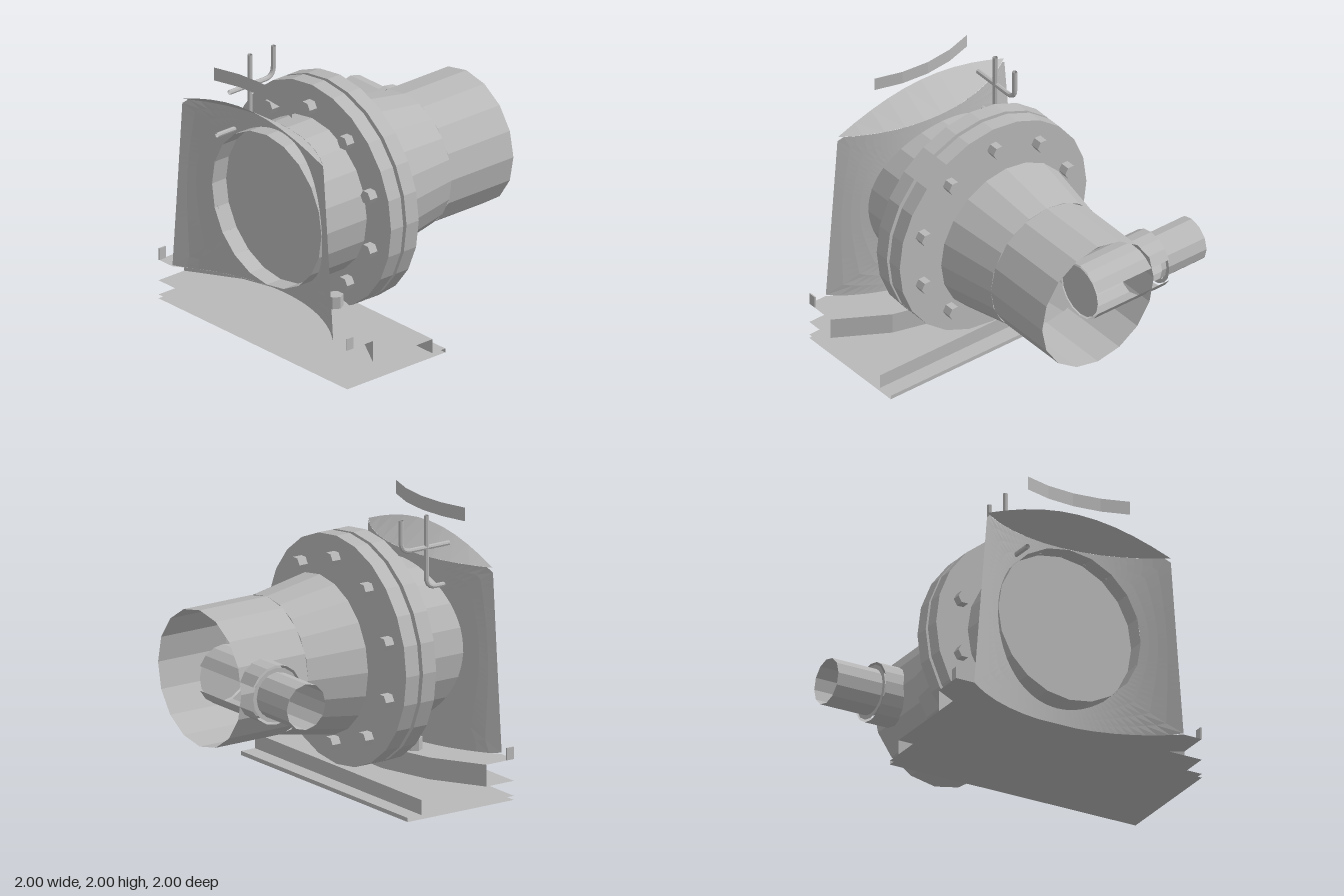
import * as THREE from 'three';

const CX = -2.04; // axis of the large tank, outside the modelled section

export function createModel() {
  const model = new THREE.Group();
  const grey = new THREE.MeshStandardMaterial({ color: 0xb8b8b8, flatShading: true, side: THREE.DoubleSide });
  grey.name = 'steelGrey';

  const add = (name, geometry, x = 0, y = 0, z = 0) => {
    const mesh = new THREE.Mesh(geometry, grey);
    mesh.name = name;
    mesh.position.set(x, y, z);
    model.add(mesh);
    return mesh;
  };

  // Surface from a rule f(u, v) -> [x, y, z]
  const surface = (f, nu, nv) => {
    const g = new THREE.PlaneGeometry(1, 1, nu, nv);
    const p = g.attributes.position;
    for (let i = 0; i < p.count; i++) p.setXYZ(i, ...f(p.getX(i) + 0.5, p.getY(i) + 0.5));
    g.computeVertexNormals();
    return g;
  };

  // Cylinder along x, from x0 (radius r0) to x1 (radius r1)
  const alongX = (name, x0, x1, r0, r1, sides, open, y = 1, z = 0) => {
    const g = new THREE.CylinderGeometry(r1, r0, x1 - x0, sides, 1, open);
    add(name, g.rotateZ(-Math.PI / 2), (x0 + x1) / 2, y, z);
  };

  // Main pipe line
  alongX('mainPipe', 0.42, 1, 0.5, 0.5, 16, true);
  alongX('reducer', -0.04, 0.42, 0.58, 0.5, 20, true);
  alongX('tankNozzle', -0.87, -0.445, 0.58, 0.58, 20, true);
  add('nozzleDisc', new THREE.CircleGeometry(0.578, 20).rotateY(-Math.PI / 2), -0.74, 1, 0);

  // Bolted flange pair
  alongX('innerFlange', -0.445, -0.33, 0.837, 0.837, 24, false);
  alongX('gasket', -0.33, -0.3, 0.78, 0.78, 24, false);
  alongX('outerFlange', -0.3, -0.185, 0.837, 0.837, 24, false);
  for (let i = 0; i < 10; i++) {
    const a = Math.PI / 2 + (i * Math.PI) / 5;
    alongX('flangeBolt', -0.513, -0.113, 0.052, 0.052, 6, false,
      1 + 0.675 * Math.sin(a), 0.675 * Math.cos(a));
  }

  // Side branch: collar with its +x side cut away, and a thinner pipe
  const cut = 0.43;
  add('branchCollar', new THREE.CylinderGeometry(0.217, 0.217, 0.64, 14, 1, true,
    Math.PI / 2 + cut, 2 * Math.PI - 2 * cut).rotateX(-Math.PI / 2), 0.8, 1, -0.32);
  add('collarStart', new THREE.CircleGeometry(0.199, 16), 0.8, 1, 0);
  add('collarEnd', new THREE.RingGeometry(0.168, 0.199, 16), 0.8, 1, -0.64);
  add('branchPipe', new THREE.CylinderGeometry(0.168, 0.168, 0.4, 12, 1, true)
    .rotateX(Math.PI / 2), 0.8, 1, -0.8);

  // Tapered tank wall with a round opening for the nozzle
  const wallX = (y, z) => {
    const r = 1.345 - ((y - 0.3) / 1.34) * 0.065;
    return Math.max(-1, CX + Math.sqrt(r * r - z * z));
  };
  add('tankWall', surface((u, v) => {
    const a = u * Math.PI * 2, c = Math.cos(a), s = Math.sin(a);
    const side = 0.797 / Math.max(Math.abs(c) + 0.08 * s, 0.01);
    const edge = (s > 0 ? 0.64 : 0.7) / Math.max(Math.abs(s), 0.01);
    const r = THREE.MathUtils.lerp(0.578, Math.min(side, edge), v);
    const y = 1 + r * s, z = r * c;
    return [wallX(y, z), y, z];
  }, 120, 4));

  // Sloping shoulder and the rim band above it
  add('tankShoulder', surface((u, v) => {
    const z = (u - 0.5) * 1.49;
    const x0 = CX + Math.sqrt(1.28 ** 2 - z * z);
    const top = 1.64 + Math.max(0, 1.28 - Math.hypot(1.04, z)) * 0.667;
    return [THREE.MathUtils.lerp(x0, -1, v), THREE.MathUtils.lerp(1.64, top, v), z];
  }, 10, 1));
  add('tankRim', surface((u, v) => {
    const a = (u - 0.5) * 0.759;
    return [CX + 1.12 * Math.cos(a), 1.9 + 0.1 * v, 1.12 * Math.sin(a)];
  }, 4, 1));

  // Foot ring: faceted outer wall and flat top
  const outer = [-38, -22.5, -7.5, 7.5, 22.5, 38].map((d) => {
    const a = THREE.MathUtils.degToRad(d);
    return new THREE.Vector2(CX + 1.624 * Math.cos(a), 1.624 * Math.sin(a));
  });
  add('footRingWall', surface((u, v) => {
    const p = outer[Math.round(u * 5)];
    return [p.x, 0.14 + 0.16 * v, p.y];
  }, 5, 1));
  const inner = [];
  for (let i = 0; i <= 12; i++) {
    const z = 0.852 - (i / 12) * 1.704;
    inner.push(new THREE.Vector2(wallX(0.3, z), z));
  }
  const ring = new THREE.Shape([...outer, new THREE.Vector2(-1, 1), ...inner, new THREE.Vector2(-1, -1)]);
  add('footRingTop', new THREE.ShapeGeometry(ring).rotateX(-Math.PI / 2), 0, 0.3, 0);

  // Anchor bolts
  for (const s of [-1, 1]) {
    add('anchorBolt', new THREE.CylinderGeometry(0.06, 0.06, 0.09, 6), -0.575, 0.345, s * 0.39);
    add('edgeBolt', new THREE.BoxGeometry(0.06, 0.09, 0.01), -0.97, 0.345, s * 0.995);
  }
  add('baseStud', new THREE.CylinderGeometry(0.072, 0.072, 0.035, 6), -0.337, 0.157, 0);

  // Base: thin sheets open at the ends
  const sheet = (name, x1, y) =>
    add(name, new THREE.PlaneGeometry(x1 + 1, 2).rotateX(-Math.PI / 2), (x1 - 1) / 2, y, 0);
  const riser = (name, x, y0, y1) =>
    add(name, new THREE.PlaneGeometry(2, y1 - y0).rotateY(Math.PI / 2), x, (y0 + y1) / 2, 0);
  sheet('baseBottom', -0.08, 0);
  sheet('basePlate', -0.08, 0.03);
  sheet('plinthTop', -0.2, 0.14);
  riser('basePlateEdge', -0.08, 0, 0.03);
  riser('plinthEdge', -0.2, 0.03, 0.14);

  // Two bent instrument lines
  const bentRod = (x0, x1, y) => {
    const path = new THREE.CurvePath();
    const V = (x, yy) => new THREE.Vector3(x, yy, -0.405);
    path.add(new THREE.LineCurve3(V(x0, y), V(x1 - 0.08, y)));
    path.add(new THREE.QuadraticBezierCurve3(V(x1 - 0.08, y), V(x1, y), V(x1, y + 0.08)));
    path.add(new THREE.LineCurve3(V(x1, y + 0.08), V(x1, 2)));
    add('instrumentLine', new THREE.TubeGeometry(path, 32, 0.018, 8, false));
  };
  bentRod(-0.865, -0.45, 1.765);
  bentRod(-0.98, -0.67, 1.47);

  return model;
}
